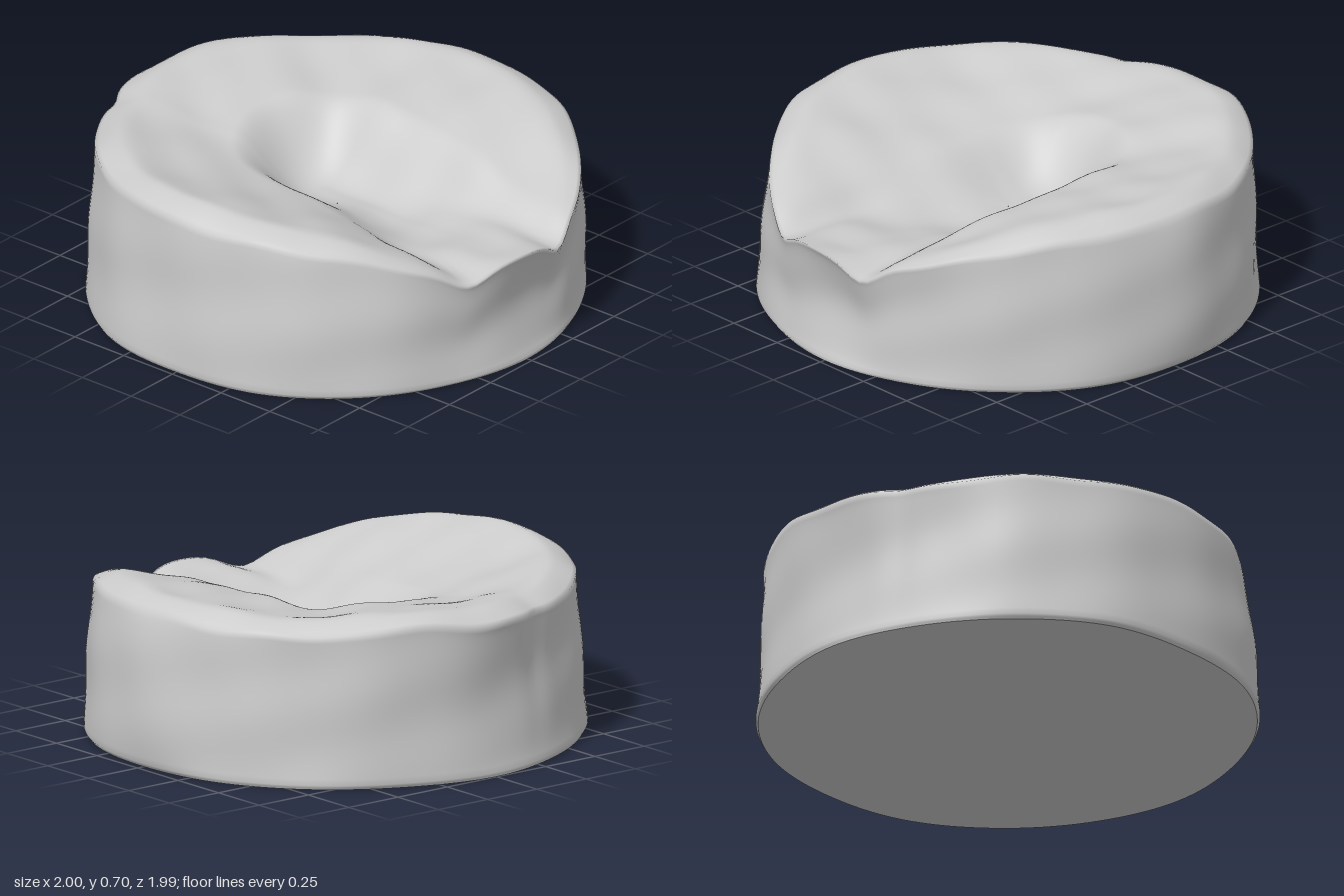
import * as THREE from 'three';

const SEG = 160;
const { lerp, clamp, smoothstep } = THREE.MathUtils;

// Sixteen samples around the body, starting at +x and turning towards +z
const RIM_HEIGHT = [0.47, 0.48, 0.58, 0.63, 0.65, 0.64, 0.63, 0.61, 0.62, 0.64, 0.61, 0.62, 0.63, 0.62, 0.59, 0.5];
const RIM_RADIUS = [1.0, 0.97, 0.93, 0.94, 0.95, 0.95, 0.95, 0.96, 1.0, 0.98, 0.96, 0.96, 0.95, 0.95, 0.95, 0.98];
const MID_RADIUS = [0.94, 0.96, 0.97, 0.98, 0.97, 0.98, 0.97, 0.95, 0.97, 0.98, 0.97, 0.98, 1.0, 0.98, 0.97, 0.96];
const BASE_RADIUS = [0.99, 0.98, 0.99, 1.0, 0.99, 1.01, 0.99, 0.99, 1.01, 0.99, 0.99, 0.99, 0.98, 0.99, 0.98, 0.98];

// Smooth periodic interpolation of a sample ring
function around(list, a) {
  const n = list.length;
  const f = ((a / (2 * Math.PI)) * n + n) % n;
  const i = Math.floor(f), t = f - i;
  const [p, q, r, s] = [-1, 0, 1, 2].map((k) => list[(i + k + n) % n]);
  return q + 0.5 * t * (r - p + t * (2 * p - 5 * q + 4 * r - s + t * (3 * (q - r) + s - p)));
}

const bell = (v, centre, width) => Math.exp(-(((v - centre) / width) ** 2));
const angleBell = (a, centre, width) => bell(Math.atan2(Math.sin(a - centre), Math.cos(a - centre)), 0, width);

// Small rim detail: two dips beside the spout and a light ripple
const rimDetail = (a) => -0.045 * angleBell(a, 0.31, 0.1) - 0.07 * angleBell(a, -0.21, 0.1)
  + 0.005 * Math.sin(11 * a + 1) + 0.003 * Math.sin(17 * a);

const rimHeight = (a) => around(RIM_HEIGHT, a) + rimDetail(a);

// Outer wall: t runs from base (0) to rim (1)
function wallPoint(t, a) {
  const b = around(BASE_RADIUS, a), m = around(MID_RADIUS, a), r = around(RIM_RADIUS, a);
  const bulge = Math.sin(Math.PI * t) ** 0.7;
  let radius = lerp(b, r, t) + (m - (b + r) / 2) * bulge;
  radius += 0.009 * bulge * Math.sin(9 * a + 4 * t) * Math.cos(5 * a - 5 * t);
  radius -= 0.02 * t * angleBell(a, 2.85, 0.07);
  radius -= 0.012 * Math.max(0, 1 - t / 0.03);
  return [radius, t * rimHeight(a)];
}

// Sunken top: a high shelf at the back and left-out side drops steeply into a
// channel leading to the spout; the front slopes down more evenly
function topPoint(s, a) {
  const edge = wallPoint(1, a)[0];
  const radius = edge * s;
  const x = radius * Math.cos(a), z = radius * Math.sin(a);
  const bend = -0.06 + 0.1 * smoothstep(x, 0, 0.9);
  const dx = x - clamp(x, -0.12, 1), dz = z - bend;
  const d = Math.hypot(dx, dz);
  const out = smoothstep(x, 0.1, 0.95);

  // Crown stands a little higher than the rim, except at the spout
  const crown = around(RIM_HEIGHT, a) + 0.055 * (1 - angleBell(a, 0, 0.6));
  const floor = 0.36 + 0.1 * out;
  const slope = d / (d + edge - radius + 0.001);
  const back = smoothstep(-(dx + dz) / (d + 0.001), -1, 1);
  const inner = lerp(lerp(0.44, 0.55, back), 0.48, out);
  const shelf = lerp(inner, Math.max(crown, floor), Math.min(1, slope * 1.12));
  let y = lerp(floor, shelf, smoothstep(d, 0.02, 0.36));

  // Gullies on both sides of the channel, leading to the dips in the spout
  y -= out * (0.045 * bell(z, 0.27, 0.08) + 0.05 * bell(z, -0.2, 0.08));
  // Soft wrinkles, fading at the rim
  y += (1 - s ** 8) * (0.008 * Math.sin(9 * x + 2 * z) * Math.cos(8 * z - 3 * x)
    + 0.006 * Math.sin(17 * x - 9 * z) * Math.sin(11 * z + 5 * x));
  // Round over to meet the rim exactly
  const over = clamp((s - 0.84) / 0.16, 0, 1);
  y = lerp(y, rimHeight(a), over * over);
  return [radius, y];
}

// Skin a stack of closed rings; each row maps an angle to [radius, y]
function ringMesh(rows, name) {
  const pos = [], index = [];
  rows.forEach((row) => {
    for (let j = 0; j < SEG; j++) {
      const a = (j / SEG) * 2 * Math.PI;
      const [r, y] = row(a);
      pos.push(r * Math.cos(a), y, r * Math.sin(a));
    }
  });
  for (let i = 0; i < rows.length - 1; i++) {
    for (let j = 0; j < SEG; j++) {
      const k = (j + 1) % SEG;
      const a = i * SEG + j, b = i * SEG + k, c = a + SEG, d = b + SEG;
      index.push(a, c, b, b, c, d);
    }
  }
  const geo = new THREE.BufferGeometry();
  geo.setAttribute('position', new THREE.Float32BufferAttribute(pos, 3));
  geo.setIndex(index);
  geo.computeVertexNormals();
  const mesh = new THREE.Mesh(geo, new THREE.MeshStandardMaterial({ color: 0xcccccc }));
  mesh.name = name;
  return mesh;
}

export function createModel() {
  const group = new THREE.Group();
  group.name = 'lumpyRoundDish';

  // Wall and sunken top share one smooth skin
  const rows = [];
  for (const t of [0, 0.015, 0.03]) rows.push((a) => wallPoint(t, a));
  for (let i = 1; i <= 24; i++) rows.push((a) => wallPoint(0.03 + (0.97 * i) / 24, a));
  for (let i = 1; i <= 60; i++) {
    const s = Math.max(0.001, 1 - i / 60);
    rows.push((a) => topPoint(s, a));
  }
  group.add(ringMesh(rows, 'wallAndSunkenTop'));

  // Flat underside
  group.add(ringMesh([() => [0.001, 0], (a) => wallPoint(0, a)], 'underside'));
  return group;
}
